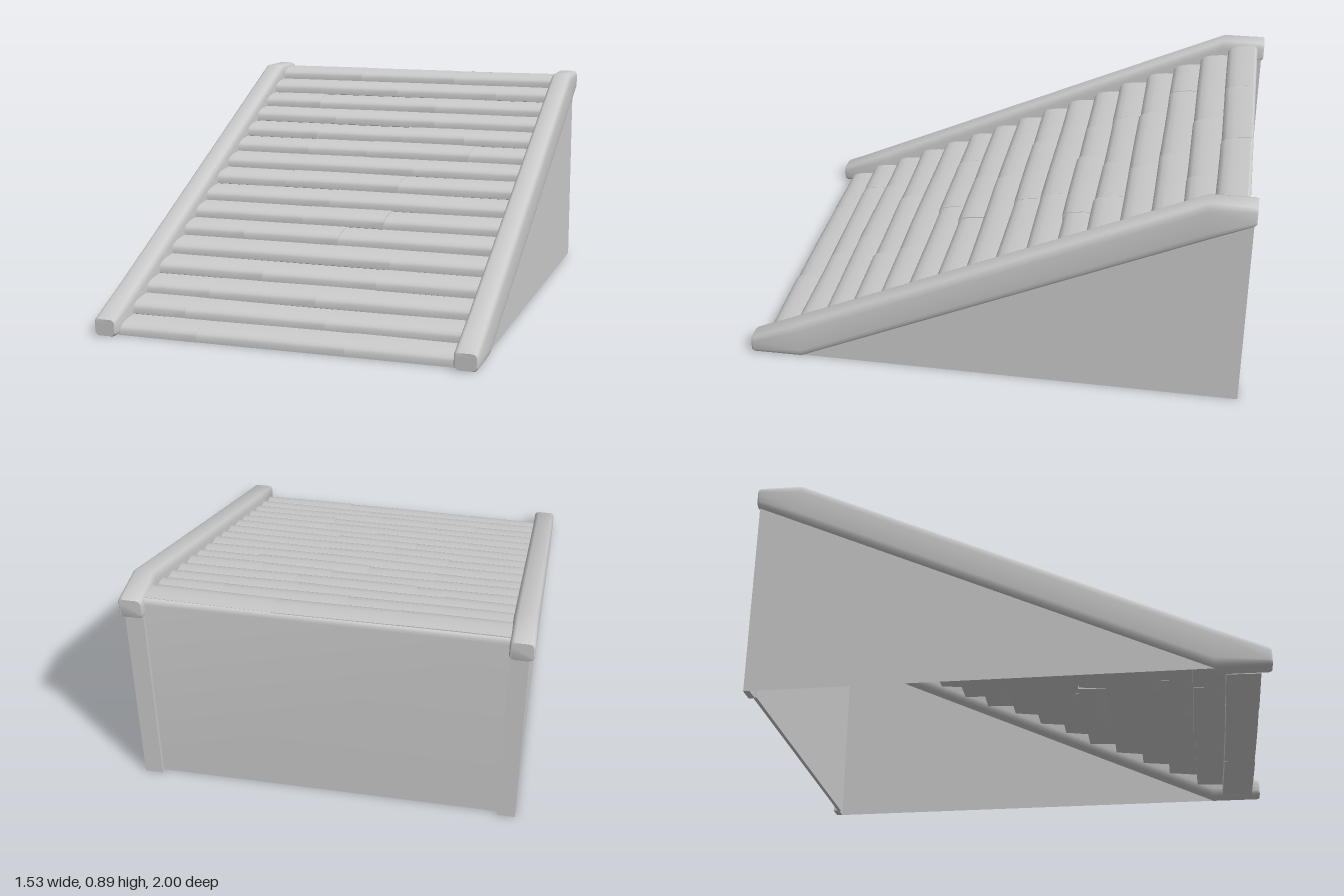
import * as THREE from 'three';
import { toCreasedNormals } from 'three/addons/utils/BufferGeometryUtils.js';

const material = new THREE.MeshStandardMaterial({ color: 0xcccccc, side: THREE.DoubleSide });

// Plank joints along x, from the bottom row to the top row
const JOINTS = [[-0.35, 0.25], [-0.45, 0.13], [-0.4, 0.05], [-0.22, 0.26], [0.28], [-0.4, 0.02],
  [-0.18, 0.18], [-0.1], [-0.35, 0.17], [0.2], [-0.33, -0.05, 0.42], [-0.33, 0.08, 0.37],
  [-0.28, 0.2], [-0.4, 0.17], [-0.05, 0.43], [-0.27, 0.2]];

function addMesh(parent, name, geometry) {
  const mesh = new THREE.Mesh(geometry, material);
  mesh.name = name;
  parent.add(mesh);
  return mesh;
}

// Small seeded generator for the uneven planks
function seeded(seed) {
  return () => {
    seed = (seed * 16807) % 2147483647;
    return seed / 2147483647;
  };
}

// Softened rectangle section, counter-clockwise seen from +z
function railSection(width, bottom, top, z) {
  const rx = 0.018, ry = Math.min(0.035, (top - bottom) * 0.25), steps = 3, points = [];
  const corners = [[1, top - ry], [-1, top - ry], [-1, bottom + ry], [1, bottom + ry]];
  corners.forEach(([side, cy], c) => {
    for (let s = 0; s <= steps; s++) {
      const a = (c + s / steps) * Math.PI / 2;
      points.push([side * (width / 2 - rx) + rx * Math.cos(a), cy + ry * Math.sin(a), z]);
    }
  });
  return points;
}

// Skin between sections running front to back, with end caps
function loft(sections) {
  const n = sections[0].length, last = (sections.length - 1) * n, index = [];
  for (let s = 0; s < sections.length - 1; s++) {
    for (let j = 0; j < n; j++) {
      const a = s * n + j, a1 = s * n + (j + 1) % n;
      index.push(a, a + n, a1, a1, a + n, a1 + n);
    }
  }
  for (let j = 1; j < n - 1; j++) {
    index.push(0, j, j + 1, last, last + j + 1, last + j);
  }
  const geometry = new THREE.BufferGeometry();
  geometry.setAttribute('position', new THREE.Float32BufferAttribute(sections.flat(2), 3));
  geometry.setIndex(index);
  return toCreasedNormals(geometry, 0.9);
}

// Extrude a (depth towards the back, height) outline along x
function extrudeAcross(outline, length, steps = 1) {
  const shape = new THREE.Shape(outline.map(([u, v]) => new THREE.Vector2(u, v)));
  const geometry = new THREE.ExtrudeGeometry(shape, { depth: length, steps, bevelEnabled: false });
  return geometry.rotateY(Math.PI / 2);
}

// One plank: low upright nose, rounded rising top, nearly level underside
function plankGeometry(x0, x1, z, y, depth, backBottom, phase) {
  const outline = [[0, 0], [0, 0.023], [0.006, 0.033], [0.02, 0.042], [0.045, 0.049],
    [0.085, 0.054], [depth, 0.056], [depth, backBottom], [0.006, -0.003]];
  const geometry = extrudeAcross(outline, x1 - x0, 4).translate(x0, y, z);
  const p = geometry.attributes.position;
  for (let i = 0; i < p.count; i++) {
    const wave = Math.sin(p.getX(i) * 5 + phase);
    p.setY(i, Math.max(0, p.getY(i) + 0.001 * wave));
    p.setZ(i, p.getZ(i) + 0.002 * wave);
  }
  return toCreasedNormals(geometry, 0.65);
}

export function createModel() {
  const model = new THREE.Group();
  model.name = 'plankRamp';

  // Side rails, walls and back posts, mirrored
  const stations = [[1, 0.003, 0.068, 0.082], [0.99, 0, 0.0745, 0.092], [0.79, 0, 0.165, 0.092],
    [-0.82, 0.729, 0.895, 0.092], [-0.99, 0.806, 0.895, 0.092], [-1, 0.813, 0.892, 0.082]];
  const rail = loft(stations.map(([z, b, t, width]) => railSection(width, b, t, z)));
  const wallShape = new THREE.Shape([[-0.79, 0], [0.99, 0], [0.99, 0.825], [-0.79, 0.02]]
    .map(([u, v]) => new THREE.Vector2(u, v)));
  const wall = new THREE.ShapeGeometry(wallShape).rotateY(Math.PI / 2);
  for (const [side, label] of [[1, 'left'], [-1, 'right']]) {
    addMesh(model, label + 'Rail', rail).position.x = side * 0.72;
    addMesh(model, label + 'Wall', wall).position.x = side * 0.747;
    const post = addMesh(model, label + 'BackPost', new THREE.BoxGeometry(0.07, 0.83, 0.025));
    post.position.set(side * 0.712, 0.415, -0.9785);
  }

  // Back wall between the posts, with a rounded top edge
  const backOutline = [[0, 0], [0, 0.879], [0.006, 0.877], [0.012, 0.87], [0.014, 0.855], [0.014, 0]];
  const back = toCreasedNormals(extrudeAcross(backOutline, 1.37), 0.8);
  addMesh(model, 'backWall', back).position.set(-0.685, 0, -0.958);

  // Stepped rows of uneven planks
  const random = seeded(731);
  const planks = new THREE.Group();
  planks.name = 'plankRows';
  model.add(planks);
  const half = 0.68;
  JOINTS.forEach((inner, row) => {
    const joints = [-half, ...inner, half];
    for (let k = 0; k < joints.length - 1; k++) {
      const z = 0.965 - 0.1206 * row + 0.006 * (random() - 0.5);
      const y = 0.055 * row + 0.003 * (random() - 0.5);
      const depth = row === JOINTS.length - 1 ? 0.118 : 0.124 + 0.014 * random();
      const backBottom = 0.001 + 0.012 * random();
      const geometry = plankGeometry(joints[k], joints[k + 1], z, y, depth, backBottom, random() * 6.28);
      addMesh(planks, 'plank', geometry);
    }
  });
  return model;
}
